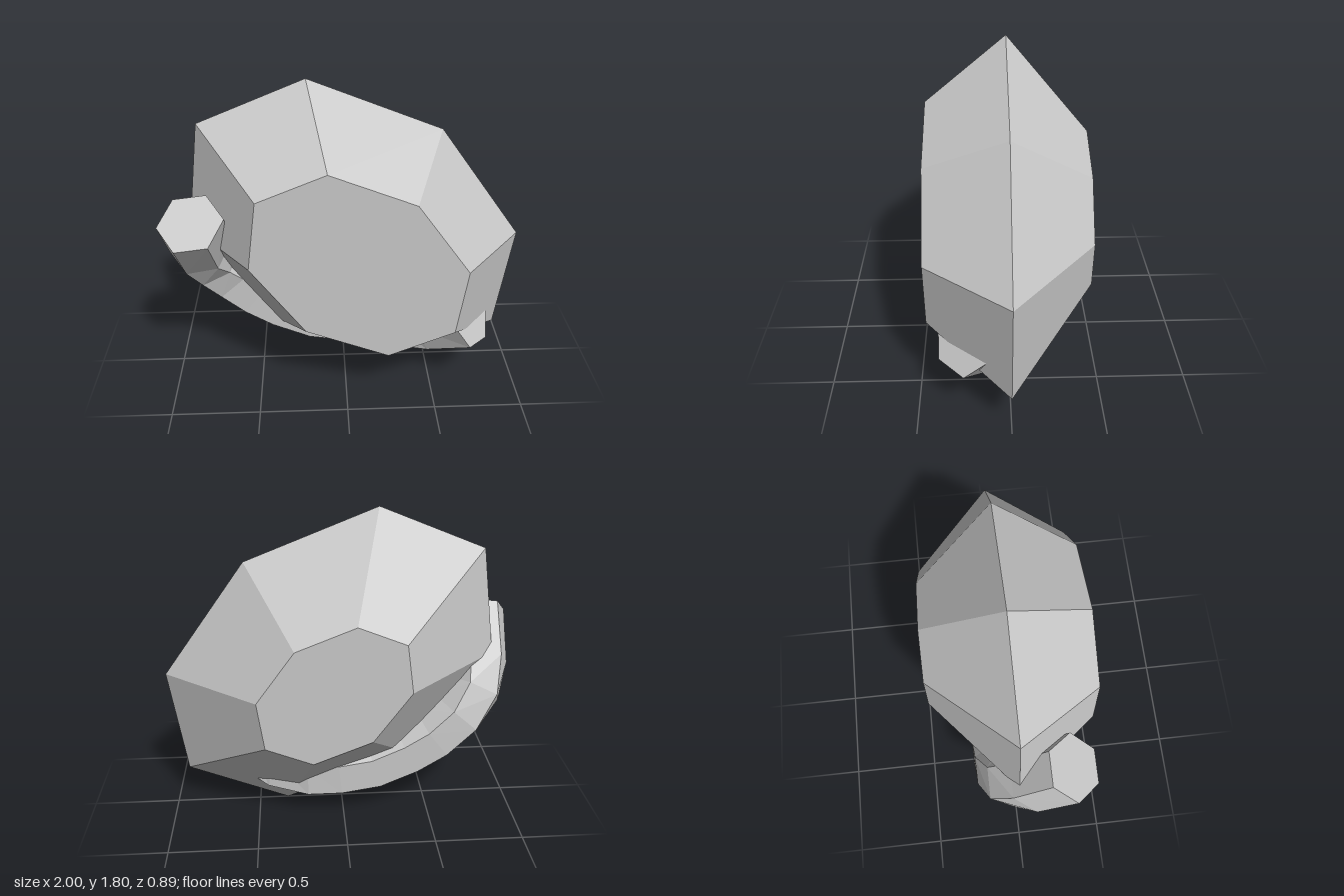
import * as THREE from 'three';

const v = (x, y, z) => new THREE.Vector3(x, y, z);

// Skin a row of rings (each counter-clockwise about the row's direction) with flat facets and end caps
function loft(rings) {
  const pos = [];
  const tri = (...points) => points.forEach((p) => pos.push(p.x, p.y, p.z));
  const n = rings[0].length;
  for (let k = 0; k < rings.length - 1; k++) {
    for (let i = 0; i < n; i++) {
      const j = (i + 1) % n;
      const [a, b, c, d] = [rings[k][i], rings[k][j], rings[k + 1][j], rings[k + 1][i]];
      tri(a, b, c);
      tri(a, c, d);
    }
  }
  const first = rings[0], last = rings[rings.length - 1];
  for (let i = 1; i < n - 1; i++) {
    tri(first[0], first[i + 1], first[i]);
    tri(last[0], last[i], last[i + 1]);
  }
  const geometry = new THREE.BufferGeometry();
  geometry.setAttribute('position', new THREE.Float32BufferAttribute(pos, 3));
  geometry.computeVertexNormals();
  return geometry;
}

export function createModel() {
  const group = new THREE.Group();
  const stone = new THREE.MeshStandardMaterial({ color: 0xc8c8c8 });
  stone.name = 'pale grey';
  const add = (name, geometry) => {
    const mesh = new THREE.Mesh(geometry, stone);
    mesh.name = name;
    group.add(mesh);
  };

  // Eight-sided gem: small back facet, wide girdle, larger front facet
  const cx = 0.065, cy = 0.9;
  const half = [[-0.265, 0.9], [-0.85, 0.662], [-0.935, 0.04], [-0.467, -0.61]];
  const girdle = [...half, ...half.map(([x, y]) => [-x, -y])];
  const gemRing = (s, z) => girdle.map(([x, y]) => v(cx + x * s, cy + y * s, z));
  add('gem', loft([gemRing(0.44, -0.447), gemRing(1, 0), gemRing(0.622, 0.447)]));

  // Hexagonal band curling under the gem, both ends reaching forward
  const path = [
    v(-0.82, 1.117, 0.283), v(-0.81, 0.867, 0.085), v(-0.765, 0.726, -0.02),
    v(-0.67, 0.595, -0.07), v(-0.535, 0.472, -0.08), v(-0.387, 0.38, -0.08),
    v(-0.186, 0.292, -0.08), v(0.018, 0.259, -0.08), v(0.18, 0.25, -0.07),
    v(0.36, 0.262, -0.01), v(0.52, 0.315, 0.09), v(0.72, 0.449, 0.249),
  ];
  const startDirection = v(0.1, -0.81, -0.58), endDirection = v(0.71, 0.47, 0.52);
  const radius = 0.18, last = path.length - 1;
  const bandRings = path.map((centre, k) => {
    const t = k === 0 ? startDirection
      : k === last ? endDirection
        : path[k + 1].clone().sub(path[k]).normalize().add(path[k].clone().sub(path[k - 1]).normalize());
    t.normalize();
    const outward = v(t.y, -t.x, 0).normalize();
    const side = t.clone().cross(outward);
    return Array.from({ length: 6 }, (_, i) => {
      const a = (i * Math.PI) / 3;
      return centre.clone()
        .addScaledVector(outward, radius * Math.cos(a))
        .addScaledVector(side, radius * Math.sin(a));
    });
  });
  add('band', loft(bandRings));

  return group;
}
